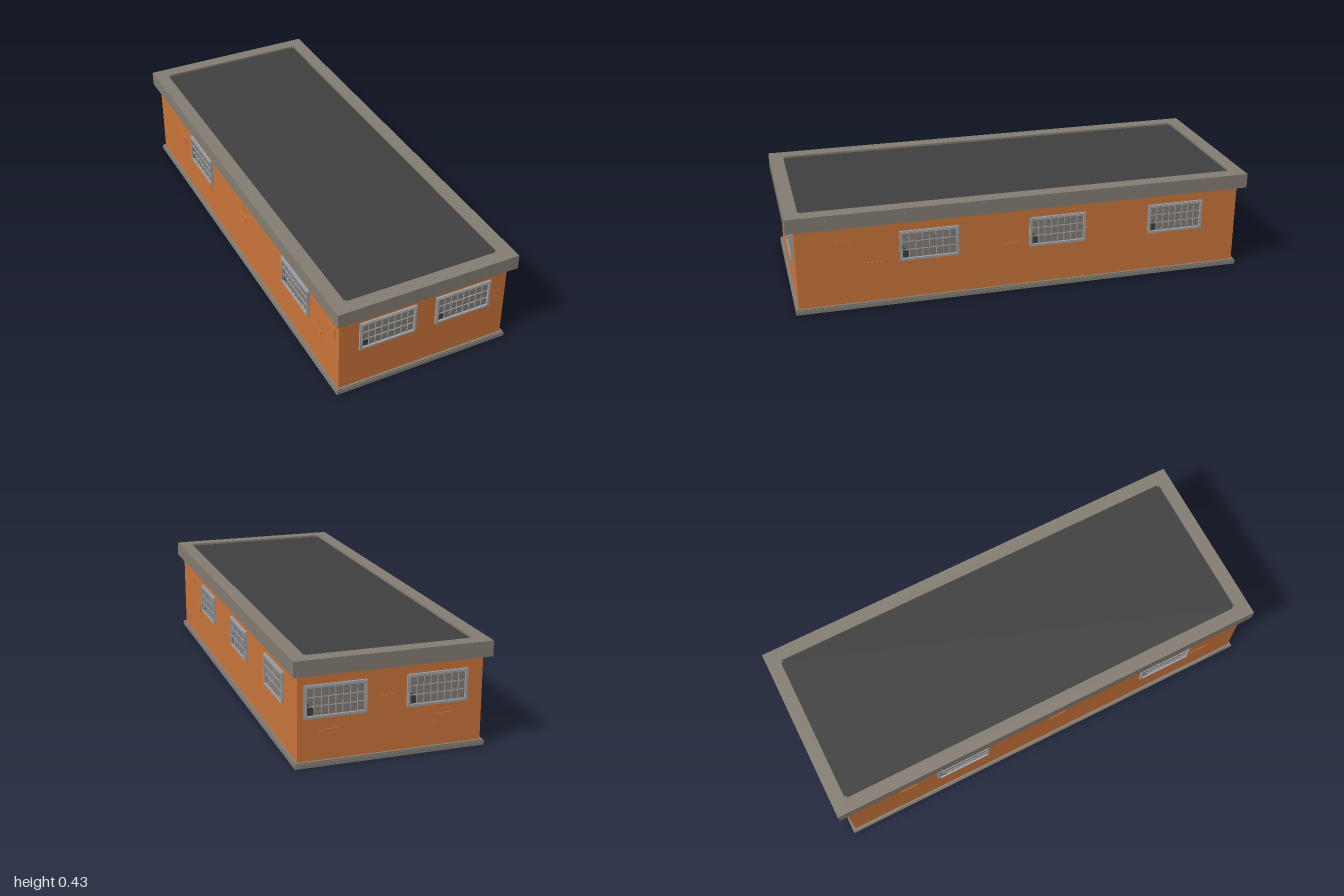
import * as THREE from 'three';

const paint = (name, color) => Object.assign(new THREE.MeshStandardMaterial({ color }), { name });
const orange = paint('orange wall', 0xcb753b);
const stone = paint('taupe trim', 0x847d73);
const tar = paint('dark roofing', 0x404040);
const metal = paint('window metal', 0x9da0a5);

const WALL_X = 0.375, WALL_Z = 0.965;

function add(parent, name, geometry, material, x = 0, y = 0, z = 0) {
  const mesh = new THREE.Mesh(geometry, material);
  mesh.name = name;
  mesh.position.set(x, y, z);
  parent.add(mesh);
  return mesh;
}

const box = (w, h, d) => new THREE.BoxGeometry(w, h, d);

// Rectangular frame in the xy plane, given half sizes, extruded along +z
function frame(ox, oy, ix, iy, depth) {
  const corners = (x, y) => [[-x, -y], [x, -y], [x, y], [-x, y]].map(p => new THREE.Vector2(...p));
  const shape = new THREE.Shape(corners(ox, oy));
  shape.holes.push(new THREE.Path(corners(ix, iy).reverse()));
  return new THREE.ExtrudeGeometry(shape, { depth, bevelEnabled: false });
}

// The same frame laid flat and rising along +y
const flatRing = (...sizes) => frame(...sizes).rotateX(-Math.PI / 2);

// Barred window facing +z, with its back on the wall
function makeWindow() {
  const g = new THREE.Group();
  g.name = 'window';
  add(g, 'outerFrame', frame(0.125, 0.066, 0.120, 0.061, 0.009), metal);
  add(g, 'innerFrame', frame(0.121, 0.062, 0.114, 0.055, 0.012), metal);
  add(g, 'pane', box(0.23, 0.112, 0.002), stone, 0, 0, 0.001);
  for (let i = 1; i < 8; i++) {
    add(g, 'verticalBar', box(0.0025, 0.112, 0.004), metal, -0.114 + i * 0.0285, 0, 0.006);
  }
  for (const y of [-0.018, 0.018]) {
    add(g, 'horizontalBar', box(0.23, 0.0025, 0.004), metal, 0, y, 0.006);
  }
  // Broken pane in the lower left corner
  const hole = new THREE.Shape([
    [-0.113, -0.054], [-0.088, -0.054], [-0.087, -0.03], [-0.094, -0.02], [-0.1, -0.021],
    [-0.103, -0.008], [-0.108, -0.014], [-0.113, 0.004],
  ].map(p => new THREE.Vector2(...p)));
  add(g, 'brokenPane', new THREE.ShapeGeometry(hole), tar, 0, 0, 0.003);
  return g;
}

// Slightly proud brick that also shows on the inside of the wall
function makeBrick() {
  const g = new THREE.Group();
  g.name = 'brick';
  add(g, 'brickBlock', box(0.078, 0.038, 0.010), orange, 0, 0, -0.002);
  return g;
}

// Each side: rotation about y, distance from centre, window offsets, brick [offset, height].
// Offsets run to the right as one faces that side from outside.
const sides = [
  { name: 'frontSide', turn: 0, out: WALL_Z, windows: [-0.164, 0.174], bricks: [] },
  { name: 'leftSide', turn: Math.PI / 2, out: WALL_X, windows: [-0.413, 0.143, 0.678],
    bricks: [[-0.77, 0.285], [-0.65, 0.18], [-0.05, 0.2]] },
  { name: 'backSide', turn: Math.PI, out: WALL_Z, windows: [-0.225, 0.186],
    bricks: [[-0.257, 0.125], [-0.015, 0.235], [0.215, 0.135]] },
  { name: 'rightSide', turn: -Math.PI / 2, out: WALL_X, windows: [-0.42, 0.588],
    bricks: [[-0.68, 0.235], [-0.37, 0.15], [0.02, 0.295], [0.045, 0.24], [0.775, 0.175], [0.895, 0.285]] },
];

export function createModel() {
  const model = new THREE.Group();
  model.name = 'building';

  // Hollow walls on a stepped plinth, open underneath
  const ix = WALL_X - 0.004, iz = WALL_Z - 0.004;
  add(model, 'walls', flatRing(WALL_X, WALL_Z, ix, iz, 0.352), orange, 0, 0.02, 0);
  add(model, 'plinth', flatRing(0.388, 0.978, ix, iz, 0.016), stone);
  add(model, 'plinthCap', flatRing(0.385, 0.975, ix, iz, 0.006), stone, 0, 0.016, 0);

  // Roof slab with a raised rim and a dark recessed deck
  add(model, 'roofRim', flatRing(0.4, 1, 0.34, 0.94, 0.063), stone, 0, 0.371, 0);
  add(model, 'roofSlab', box(0.68, 0.05, 1.88), stone, 0, 0.396, 0);
  add(model, 'roofDeck', box(0.68, 0.004, 1.88), tar, 0, 0.423, 0);
  for (const x of [-0.335, 0.335]) {
    for (const z of [-0.935, 0.935]) {
      add(model, 'roofDrain', new THREE.CylinderGeometry(0.005, 0.005, 0.008, 10), stone, x, 0.428, z);
    }
  }

  // Windows and loose bricks on every side
  for (const { name, turn, out, windows, bricks } of sides) {
    const side = new THREE.Group();
    side.name = name;
    side.rotation.y = turn;
    for (const u of windows) {
      const w = makeWindow();
      w.position.set(u, 0.259, out);
      side.add(w);
    }
    for (const [u, y] of bricks) {
      const b = makeBrick();
      b.position.set(u, y, out);
      side.add(b);
    }
    model.add(side);
  }
  return model;
}
